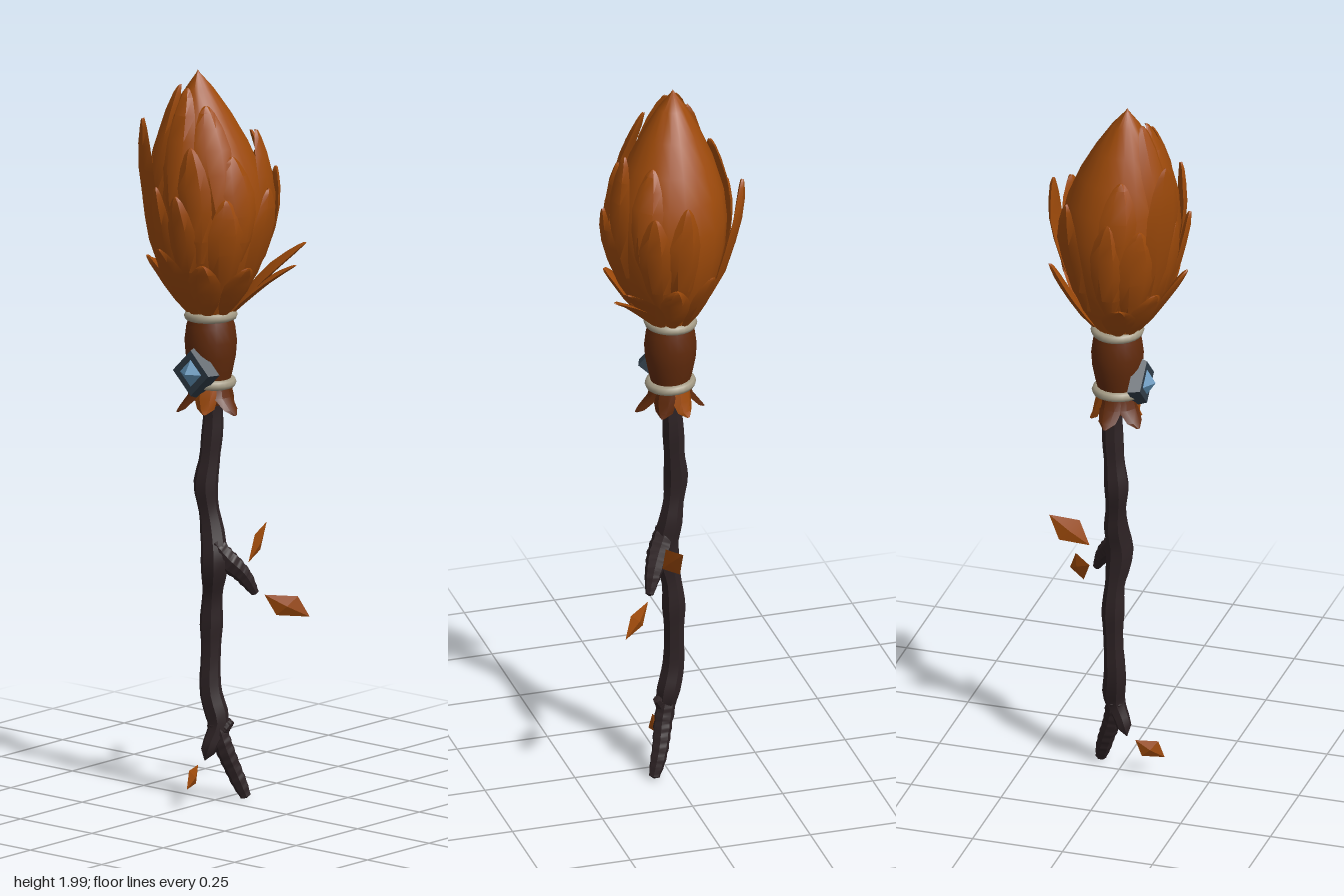
import * as THREE from 'three';
import { toCreasedNormals } from 'three/addons/utils/BufferGeometryUtils.js';

const paint = (name, color, side = THREE.FrontSide) => {
  const m = new THREE.MeshStandardMaterial({ color, side });
  m.name = name;
  return m;
};

// Linear lookup in a list of [key, value] pairs
function lookup(table, k) {
  if (k <= table[0][0]) return table[0][1];
  for (let i = 1; i < table.length; i++) {
    const [k0, v0] = table[i - 1], [k1, v1] = table[i];
    if (k <= k1) return v0 + (v1 - v0) * (k - k0) / (k1 - k0);
  }
  return table[table.length - 1][1];
}

// Head profile: height to radius, and the lean of its axis
const PROFILE = [[1.3, 0.05], [1.34, 0.06], [1.4, 0.098], [1.48, 0.132], [1.56, 0.15], [1.64, 0.154],
  [1.72, 0.143], [1.8, 0.116], [1.88, 0.078], [1.95, 0.037], [1.99, 0.006], [2.0, 0]];
const headRadius = y => lookup(PROFILE, y);
const axisX = y => lookup([[1.3, -0.015], [1.6, -0.01], [2, -0.032]], y);
const axisZ = y => lookup([[1.3, 0], [1.65, 0.002], [2, 0.033]], y);

// Closed blade around a vertical axis; rows run upward as [y, radius, halfWidth, thickness]
function blade(azimuth, rows) {
  const a = THREE.MathUtils.degToRad(azimuth), s = Math.sin(a), c = Math.cos(a);
  const pos = [], idx = [];
  for (const [y, r, w, t] of rows) {
    const cx = axisX(y), cz = axisZ(y);
    // Edges bend back around the axis, ridge and underside stay in the middle
    const edge = Math.sqrt(Math.max(r * r - w * w, 0)) * 0.5 + r * 0.5;
    for (const [u, d] of [[-w, edge], [-w * 0.45, r + t * 0.8], [w * 0.45, r + t * 0.8], [w, edge], [0, r - t * 0.6]])
      pos.push(cx + u * c + d * s, y, cz - u * s + d * c);
  }
  for (let i = 0; i < rows.length - 1; i++)
    for (let j = 0; j < 5; j++) {
      const p = i * 5 + j, q = i * 5 + (j + 1) % 5;
      idx.push(p, q, q + 5, p, q + 5, p + 5);
    }
  const g = new THREE.BufferGeometry();
  g.setAttribute('position', new THREE.Float32BufferAttribute(pos, 3));
  g.setIndex(idx);
  return toCreasedNormals(g, 0.6);
}

// Blunt leaf that hugs the head and peels away to its tip
function headLeaf([azimuth, y0, y1, tipR, width]) {
  const rows = [];
  const shape = [[0, 0.3], [0.2, 0.7], [0.45, 0.95], [0.65, 1], [0.82, 0.75], [0.94, 0.42], [0.985, 0.2], [1, 0.03]];
  for (const [t, w] of shape) {
    const y = y0 + (y1 - y0) * t;
    const peel = (tipR - headRadius(y1)) * Math.pow(t, 2.2);
    const lift = 0.005 * Math.max(0, Math.sin(Math.PI * Math.min(1, t * 1.1 + 0.05)));
    rows.push([y, headRadius(y) + peel + lift, width * w, 0.014 * Math.min(1, 0.3 + w)]);
  }
  return blade(azimuth, rows);
}

// Gnarled branch with a varying radius, closed at both ends
function branch(points, radii) {
  const curve = new THREE.CatmullRomCurve3(points.map(p => new THREE.Vector3(...p)));
  const n = 40, sides = 7;
  const g = new THREE.TubeGeometry(curve, n, 1, sides, false);
  const pos = g.attributes.position, v = new THREE.Vector3();
  for (let i = 0; i <= n; i++) {
    const centre = curve.getPointAt(i / n);
    const end = i === 0 || i === n;
    const r = end ? 0.0005 : lookup(radii, i / n) * (1 + 0.04 * Math.sin(i * 1.3));
    for (let j = 0; j <= sides; j++) {
      const k = i * (sides + 1) + j;
      v.fromBufferAttribute(pos, k).sub(centre).multiplyScalar(r).add(centre);
      pos.setXYZ(k, v.x, v.y, v.z);
    }
  }
  return toCreasedNormals(g, 0.7);
}

// Thin diamond leaf between two tips, with a side vector for its half width
function looseLeaf(a, b, side) {
  const A = new THREE.Vector3(...a), B = new THREE.Vector3(...b), S = new THREE.Vector3(...side);
  const mid = A.clone().add(B).multiplyScalar(0.5), along = B.clone().sub(A).multiplyScalar(0.5);
  const normal = along.clone().cross(S).normalize().multiplyScalar(0.01);
  const g = new THREE.OctahedronGeometry(1);
  g.applyMatrix4(new THREE.Matrix4().makeBasis(along, S, normal).setPosition(mid));
  return toCreasedNormals(g, 0.3);
}

export function createModel() {
  const root = new THREE.Group();
  root.name = 'leafStaff';
  const leafMat = paint('autumn leaf', 0x9e4a0a);
  const wrapMat = paint('brown wrap', 0x602a0c);
  const barkMat = paint('dark bark', 0x2e2325);
  const cordMat = paint('pale cord', 0xa59c86);
  const frameMat = paint('slate frame', 0x313e49);
  const gemMat = paint('blue gem', 0x6294ba, THREE.DoubleSide);
  const add = (name, geo, mat, parent = root) => {
    const m = new THREE.Mesh(geo, mat);
    m.name = name;
    parent.add(m);
    return m;
  };

  // Crooked shaft with forked foot and side twig
  add('shaft', branch(
    [[-0.015, 1.16, 0], [-0.017, 1.05, -0.012], [-0.024, 0.93, -0.005], [-0.03, 0.86, 0.003], [-0.014, 0.74, -0.004],
      [0.0, 0.66, 0.003], [-0.018, 0.54, -0.008], [-0.022, 0.42, -0.009], [-0.02, 0.3, -0.005], [0, 0.21, -0.012],
      [-0.006, 0.165, 0.008], [-0.014, 0.115, 0.026]],
    [[0, 0.027], [0.2, 0.029], [0.29, 0.033], [0.36, 0.028], [0.47, 0.039], [0.56, 0.028], [0.65, 0.031],
      [0.75, 0.026], [0.82, 0.032], [0.88, 0.031], [0.94, 0.024], [1, 0.017]]), barkMat);
  add('footProng', branch(
    [[-0.004, 0.22, -0.008], [0.012, 0.15, -0.022], [0.028, 0.08, -0.046], [0.052, 0.006, -0.068]],
    [[0, 0.026], [0.4, 0.025], [0.8, 0.021], [1, 0.014]]), barkMat);
  add('sideTwig', branch(
    [[-0.008, 0.71, 0.006], [0.02, 0.665, -0.018], [0.048, 0.62, -0.055], [0.07, 0.562, -0.086]],
    [[0, 0.03], [0.4, 0.03], [0.75, 0.021], [1, 0.01]]), barkMat);
  add('shaftKnot', branch([[0.0, 0.17, -0.01], [0.016, 0.2, -0.018], [0.033, 0.222, -0.03]],
    [[0, 0.02], [0.6, 0.017], [1, 0.01]]), barkMat);

  // Barrel wrap, flared skirt and cords
  const wrapLine = [[0.034, 1.085], [0.044, 1.11], [0.052, 1.15], [0.059, 1.18], [0.067, 1.22], [0.07, 1.26],
    [0.065, 1.3], [0.054, 1.335]].map(p => new THREE.Vector2(...p));
  add('wrap', new THREE.LatheGeometry(wrapLine, 20), wrapMat).position.x = -0.015;
  const skirt = new THREE.Group();
  skirt.name = 'skirt';
  root.add(skirt);
  for (let i = 0; i < 6; i++) {
    const out = [0.062, 0.092, 0.066, 0.07, 0.088, 0.09][i];
    add('skirtFlap', blade(25 + i * 60, [[1.068, out, 0.006, 0.005], [1.081, out * 0.85, 0.024, 0.008],
      [1.11, 0.052, 0.032, 0.009], [1.15, 0.046, 0.026, 0.006]]), i % 3 ? wrapMat : leafMat, skirt);
  }
  for (const [y, r, tilt] of [[1.328, 0.058, 0.03], [1.148, 0.055, -0.06]]) {
    const cord = add('cord', new THREE.TorusGeometry(r, 0.0135, 8, 24).rotateX(Math.PI / 2), cordMat);
    cord.position.set(-0.015, y, 0);
    cord.rotation.z = tilt;
  }

  // Diamond brooch on the front
  const brooch = new THREE.Group();
  brooch.name = 'brooch';
  brooch.position.set(-0.015, 1.182, 0.066);
  root.add(brooch);
  const frameGeo = new THREE.CylinderGeometry(0.062, 0.074, 0.032, 4).rotateX(Math.PI / 2);
  add('broochFrame', toCreasedNormals(frameGeo, 0.2), frameMat, brooch);
  const gemGeo = new THREE.ConeGeometry(0.037, 0.024, 4).rotateX(Math.PI / 2);
  add('gem', toCreasedNormals(gemGeo, 0.2), gemMat, brooch).position.z = 0.028;

  // Leafy head: smooth leaning core
  const core = new THREE.LatheGeometry(PROFILE.map(([y, r]) => new THREE.Vector2(r, y)), 20);
  const p = core.attributes.position;
  for (let i = 0; i < p.count; i++)
    p.setXYZ(i, p.getX(i) + axisX(p.getY(i)), p.getY(i), p.getZ(i) + axisZ(p.getY(i)));
  add('headCore', toCreasedNormals(core, 0.8), leafMat);

  // Overlapping leaves: azimuth from front, base height, tip height, tip radius, half width
  const leaves = [
    [137, 1.34, 1.52, 0.25, 0.045], [124, 1.34, 1.47, 0.225, 0.045], [-5, 1.34, 1.54, 0.195, 0.05],
    [-72, 1.34, 1.47, 0.18, 0.045], [-38, 1.34, 1.5, 0.172, 0.045], [32, 1.34, 1.5, 0.165, 0.045],
    [75, 1.34, 1.49, 0.172, 0.045], [203, 1.34, 1.53, 0.182, 0.035], [170, 1.34, 1.5, 0.165, 0.04],
    [12, 1.42, 1.69, 0.187, 0.04], [-14, 1.42, 1.7, 0.172, 0.04], [-55, 1.4, 1.7, 0.17, 0.05],
    [-84, 1.42, 1.72, 0.162, 0.045], [-121, 1.42, 1.77, 0.195, 0.042], [96, 1.4, 1.7, 0.192, 0.05],
    [55, 1.4, 1.68, 0.17, 0.05], [177, 1.42, 1.75, 0.19, 0.042], [151, 1.42, 1.72, 0.19, 0.045],
    [27, 1.5, 1.82, 0.155, 0.045], [-31, 1.48, 1.88, 0.165, 0.055], [108, 1.5, 1.85, 0.15, 0.045],
    [70, 1.5, 1.79, 0.14, 0.05], [140, 1.52, 1.83, 0.125, 0.045], [-75, 1.52, 1.83, 0.12, 0.05],
    [5, 1.58, 1.96, 0.052, 0.05], [50, 1.6, 1.92, 0.082, 0.05], [-25, 1.6, 1.965, 0.053, 0.045],
  ];
  const foliage = new THREE.Group();
  foliage.name = 'foliage';
  root.add(foliage);
  for (const l of leaves) add('headLeaf', headLeaf(l), leafMat, foliage);

  // Small blue fleck tucked behind a front leaf
  add('blueFleck', looseLeaf([-0.081, 1.845, 0.098], [-0.085, 1.885, 0.094], [0.012, 0, 0.007]), gemMat);

  // Drifting leaves
  add('driftingLeaf', looseLeaf([0.08, 0.558, -0.108], [0.168, 0.497, -0.19], [0.022, 0.026, -0.018]), leafMat);
  add('driftingLeaf', looseLeaf([0.036, 0.642, -0.094], [0.01, 0.73, -0.198], [0.012, 0.027, 0.025]), leafMat);
  add('driftingLeaf', looseLeaf([0.008, 0.057, 0.124], [-0.016, 0.108, 0.05], [0.006, 0.022, 0.021]), leafMat);
  return root;
}
